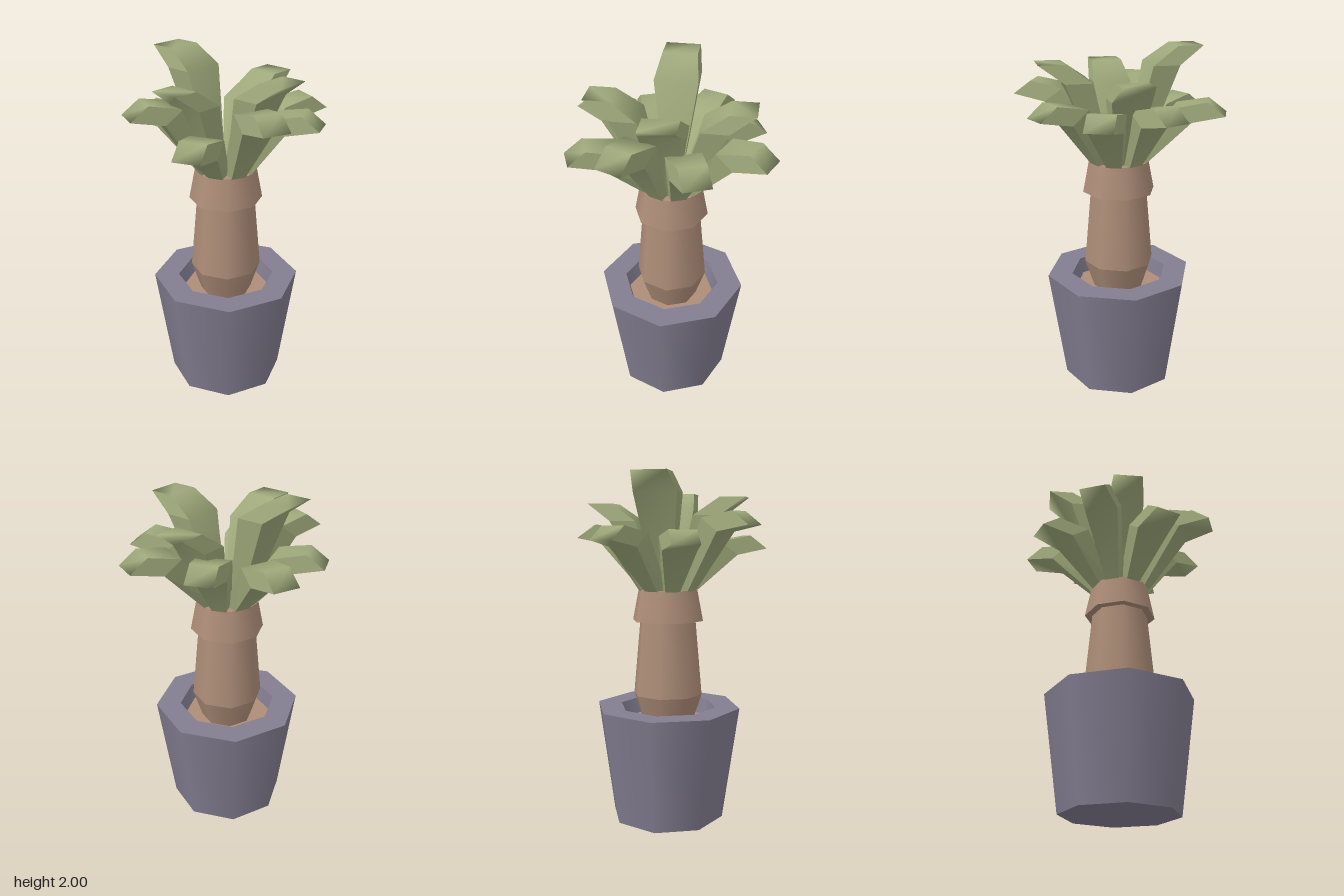
import * as THREE from 'three';
import { mergeGeometries } from 'three/addons/utils/BufferGeometryUtils.js';

const material = (name, color, side = THREE.FrontSide) => {
  const m = new THREE.MeshStandardMaterial({ color, side });
  m.name = name;
  return m;
};

// Eight-sided turned solid: smooth around, sharp between profile bands
function turned(profile) {
  const bands = [];
  for (let i = 0; i < profile.length - 1; i++) {
    bands.push(new THREE.LatheGeometry(
      [new THREE.Vector2(...profile[i]), new THREE.Vector2(...profile[i + 1])], 8));
  }
  return mergeGeometries(bands);
}

// Leaf pointing along +z. Each section is [z upper, y upper, z lower, y lower, half width]
function leafGeometry(sections) {
  const upper = sections.map(([z, y, , , w]) => [z, y, w]);
  const lower = sections.map(([, , z, y, w]) => [z, y, w]);

  // smooth ribbon over the top, around the tip and back underneath
  const ribbon = new THREE.BufferGeometry();
  const loop = [...upper, ...lower.slice().reverse()];
  const index = [];
  for (let i = 0; i < loop.length - 1; i++) {
    const a = i * 2;
    index.push(a, a + 2, a + 1, a + 2, a + 3, a + 1);
  }
  ribbon.setAttribute('position', new THREE.Float32BufferAttribute(
    loop.flatMap(([z, y, w]) => [-w, y, z, w, y, z]), 3));
  ribbon.setIndex(index);
  ribbon.computeVertexNormals();

  // flat side faces
  const corners = [];
  for (let i = 0; i < sections.length - 1; i++) {
    const right = [upper[i], upper[i + 1], lower[i + 1], lower[i]];
    for (const [s, q] of [[1, right], [-1, right.slice().reverse()]]) {
      for (const k of [0, 1, 2, 0, 2, 3]) corners.push(s * q[k][2], q[k][1], q[k][0]);
    }
  }
  const sides = new THREE.BufferGeometry();
  sides.setAttribute('position', new THREE.Float32BufferAttribute(corners, 3));
  sides.computeVertexNormals();
  return mergeGeometries([ribbon.toNonIndexed(), sides]);
}

export function createModel() {
  const group = new THREE.Group();
  const potMat = material('potGrey', 0x827d90);
  const barkMat = material('barkBrown', 0xad8d78);
  const leafMat = material('leafGreen', 0x9fa97b, THREE.DoubleSide);

  const add = (name, geometry, mat) => {
    const mesh = new THREE.Mesh(geometry, mat);
    mesh.name = name;
    mesh.position.set(-0.018, 0, 0.005);
    group.add(mesh);
    return mesh;
  };

  // Pot with thick rim, and soil inside
  add('pot', turned([[0, 0], [0.335, 0], [0.43, 0.67], [0.285, 0.67], [0.26, 0.57]]), potMat);
  add('soil', turned([[0.265, 0.58], [0, 0.58]]), barkMat);

  // Trunk and flared collar
  add('trunk', turned([[0.145, 0.56], [0.205, 0.745], [0.165, 1.19]]), barkMat);
  add('collar', turned([[0, 1.18], [0.21, 1.18], [0.175, 1.36], [0, 1.36]]), barkMat);
  add('crownCentre', new THREE.BoxGeometry(0.09, 0.04, 0.09).translate(0, 1.35, 0), leafMat);

  // Upright leaves: [angle in degrees, tip height, width scale]
  for (const [angle, top, s] of [[0, 1.92, 1.1], [90, 1.85, 1], [180, 2, 1.12], [270, 1.88, 1]]) {
    const leaf = add('uprightLeaf', leafGeometry([
      [0.045, 1.355, 0.12, 1.355, 0.045],
      [0.165, top - 0.1, 0.315, top - 0.1, 0.108 * s],
      [0.31, top, 0.453, top, 0.086 * s],
    ]), leafMat);
    leaf.rotation.y = THREE.MathUtils.degToRad(angle);
  }

  // Drooping leaves, evenly spaced: [reach, peak height]
  const drooping = [[0.54, 1.73], [0.6, 1.73], [0.515, 1.73], [0.595, 1.72],
    [0.55, 1.7], [0.565, 1.8], [0.57, 1.67], [0.58, 1.81]];
  drooping.forEach(([reach, top], i) => {
    const leaf = add('droopingLeaf', leafGeometry([
      [0.06, 1.355, 0.165, 1.355, 0.042],
      [reach - 0.28, top - 0.035, reach - 0.18, top - 0.11, 0.096],
      [reach - 0.1, top, reach, top - 0.075, 0.076],
    ]), leafMat);
    leaf.rotation.y = THREE.MathUtils.degToRad(22.5 + 45 * i);
  });

  return group;
}
